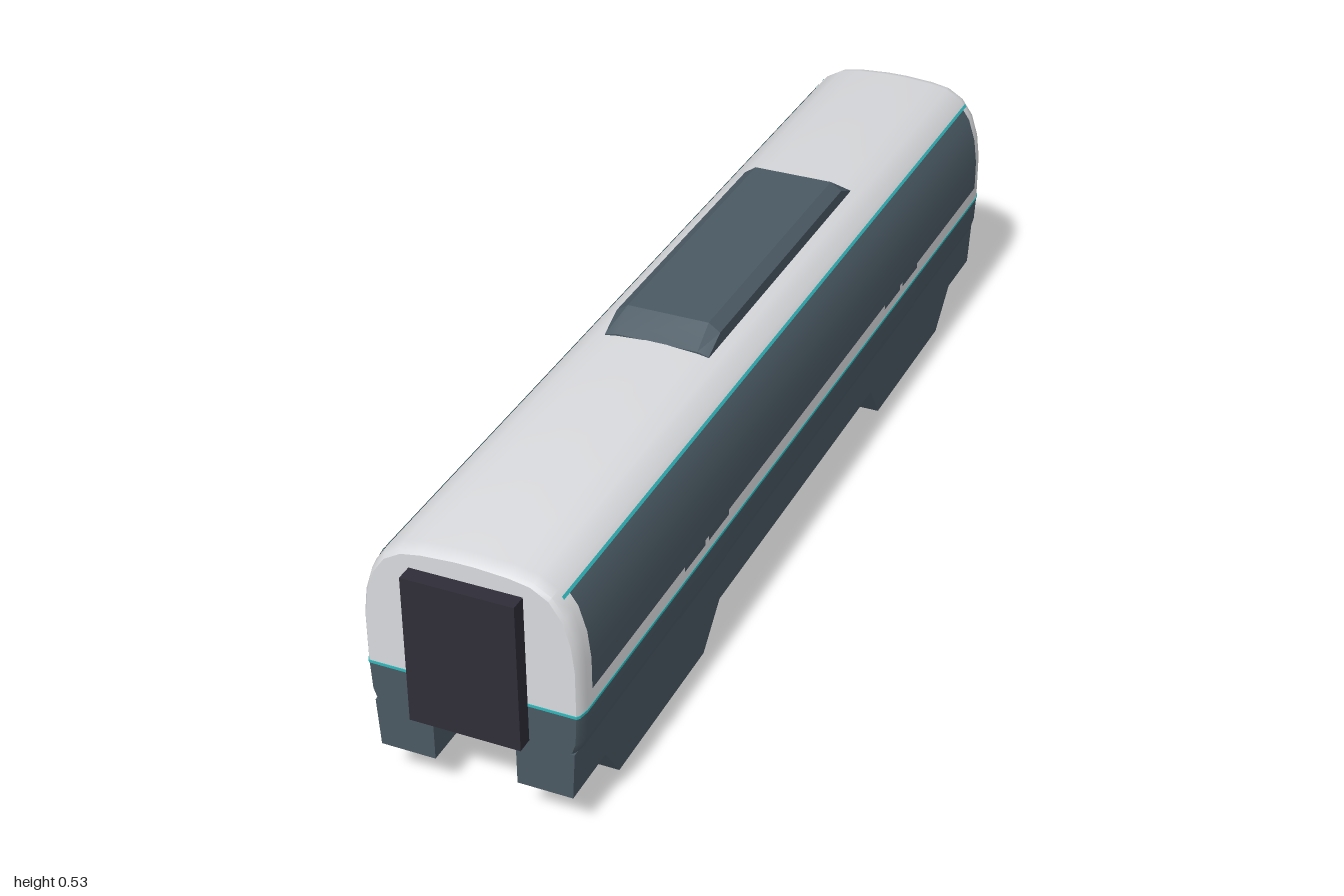
import * as THREE from 'three';
import { toCreasedNormals } from 'three/addons/utils/BufferGeometryUtils.js';

const material = (name, color) => Object.assign(new THREE.MeshStandardMaterial({ color }), { name });

// right half of the body cross-section, bottom to top
const lowerHalf = [[0.145, 0.155], [0.168, 0.159], [0.183, 0.17], [0.19, 0.19], [0.193, 0.245]];
const upperHalf = [[0.193, 0.245], [0.193, 0.34], [0.187, 0.39], [0.173, 0.435], [0.15, 0.468],
  [0.118, 0.487], [0.08, 0.494], [0.02, 0.498]];
const profile = [...lowerHalf, ...upperHalf.slice(1)];

const mirrored = half => [...half, ...half.map(([x, y]) => [-x, y]).reverse()];

// rings run front to back as [z, x scale, y scale]; y scales about baseY
function loft(section, rings, baseY, crease) {
  const n = section.length, pos = [], idx = [];
  for (const [z, sx, sy] of rings)
    for (const [x, y] of section) pos.push(x * sx, baseY + (y - baseY) * sy, z);
  for (let i = 0; i < rings.length - 1; i++)
    for (let j = 0; j < n; j++) {
      const a = i * n + j, b = i * n + (j + 1) % n;
      idx.push(a, a + n, b, b, a + n, b + n);
    }
  const last = (rings.length - 1) * n;
  for (let j = 1; j < n - 1; j++) {
    idx.push(0, j, j + 1);
    idx.push(last, last + j + 1, last + j);
  }
  const g = new THREE.BufferGeometry();
  g.setAttribute('position', new THREE.Float32BufferAttribute(pos, 3));
  g.setIndex(idx);
  return toCreasedNormals(g, crease);
}

// body half-width at a given height
function widthAt(y) {
  for (let i = 1; i < profile.length; i++) {
    const [x0, y0] = profile[i - 1], [x1, y1] = profile[i];
    if (y <= y1) return x0 + (x1 - x0) * (y - y0) / (y1 - y0);
  }
  return 0;
}

// thin strip that follows the +x side of the body
function sideStrip(y0, y1, z0, z1, offset) {
  const ys = [y0, ...profile.map(p => p[1]).filter(y => y > y0 + 1e-4 && y < y1 - 1e-4), y1];
  const pos = [], idx = [];
  ys.forEach((y, i) => {
    const x = widthAt(y) + offset;
    pos.push(x, y, z1, x, y, z0);
    if (i) {
      const a = 2 * i - 2;
      idx.push(a, a + 1, a + 2, a + 2, a + 1, a + 3);
    }
  });
  const g = new THREE.BufferGeometry();
  g.setAttribute('position', new THREE.Float32BufferAttribute(pos, 3));
  g.setIndex(idx);
  return toCreasedNormals(g, 0.6);
}

// side skirt with two deep running-gear covers and a sloping outer face
function skirtGeometry() {
  const half = [[0.97, 0.17], [0.97, 0.08], [0.85, 0.08], [0.79, 0], [0.44, 0], [0.38, 0.08]];
  const pts = [...half, ...half.map(([z, y]) => [-z, y]).reverse()];
  const shape = new THREE.Shape(pts.map(([z, y]) => new THREE.Vector2(z, y)));
  const g = new THREE.ExtrudeGeometry(shape, { depth: 0.1, bevelEnabled: false });
  g.rotateY(Math.PI / 2).translate(0.075, 0, 0);
  const p = g.attributes.position;
  for (let i = 0; i < p.count; i++)
    if (p.getX(i) > 0.1) p.setX(i, 0.17 + 0.06 * p.getY(i));
  g.computeVertexNormals();
  return g;
}

export function createModel() {
  const white = material('white paint', 0xd8d9dc);
  const slate = material('slate paint', 0x4a5963);
  const dark = material('dark rubber', 0x2f2d37);
  const teal = material('teal trim', 0x2fb8bc);
  slate.side = teal.side = THREE.DoubleSide;

  const model = new THREE.Group();
  model.name = 'railCar';
  const add = (name, geometry, mat, parent = model) => {
    const m = new THREE.Mesh(geometry, mat);
    m.name = name;
    parent.add(m);
    return m;
  };

  // body shell with rounded ends
  const front = [[0.97, 0.96, 0.96], [0.964, 0.982, 0.982], [0.945, 1, 1]];
  const rings = [...front, ...front.map(([z, a, b]) => [-z, a, b]).reverse()];
  add('lowerBody', loft(mirrored(lowerHalf), rings, 0.245, 0.6), slate);
  add('upperBody', loft(mirrored(upperHalf), rings, 0.245, 0.6), white);

  // waist stripe running all the way round
  const beltRings = rings.map(([z, s]) => [z + Math.sign(z) * 0.001, s, 1]);
  add('waistStripe', loft(mirrored([[0.194, 0.244], [0.194, 0.249]]), beltRings, 0.245, 0.4), teal);

  // both sides are the same, turned half round
  for (const side of [0, 1]) {
    const group = new THREE.Group();
    group.name = side ? 'rightSide' : 'leftSide';
    group.rotation.y = side * Math.PI;
    model.add(group);
    add('windowBand', sideStrip(0.28, 0.455, -0.93, 0.93, 0.002), slate, group);
    add('windowTrim', sideStrip(0.455, 0.46, -0.95, 0.95, 0.002), teal, group);
    add('skirt', skirtGeometry(), slate, group);
    for (const z of [-0.48, 0.48]) {
      add('doorPanel', sideStrip(0.172, 0.243, z - 0.1, z + 0.1, 0.002), slate, group);
      for (const dz of [-0.05, 0.05])
        add('doorGlass', sideStrip(0.27, 0.281, z + dz - 0.043, z + dz + 0.043, 0.002), slate, group);
    }
  }

  // gangways at both ends
  for (const s of [1, -1])
    add(s > 0 ? 'frontGangway' : 'backGangway',
      new THREE.BoxGeometry(0.2, 0.28, 0.04).translate(0, 0.315, s * 0.98), dark);

  // floor plate and centre beam
  add('floorPlate', new THREE.BoxGeometry(0.28, 0.012, 1.92).translate(0, 0.154, 0), slate);
  add('centreBeam', new THREE.BoxGeometry(0.086, 0.03, 1.9).translate(0, 0.145, 0), dark);

  // roof unit with chamfered edges and sloping ends
  const unit = mirrored([[0.1, 0.48], [0.1, 0.515], [0.078, 0.53]]);
  add('roofUnit', loft(unit, [[0.255, 1, 0.35], [0.205, 1, 1], [-0.38, 1, 1], [-0.43, 1, 0.35]], 0.48, 0.3), slate);

  return model;
}
